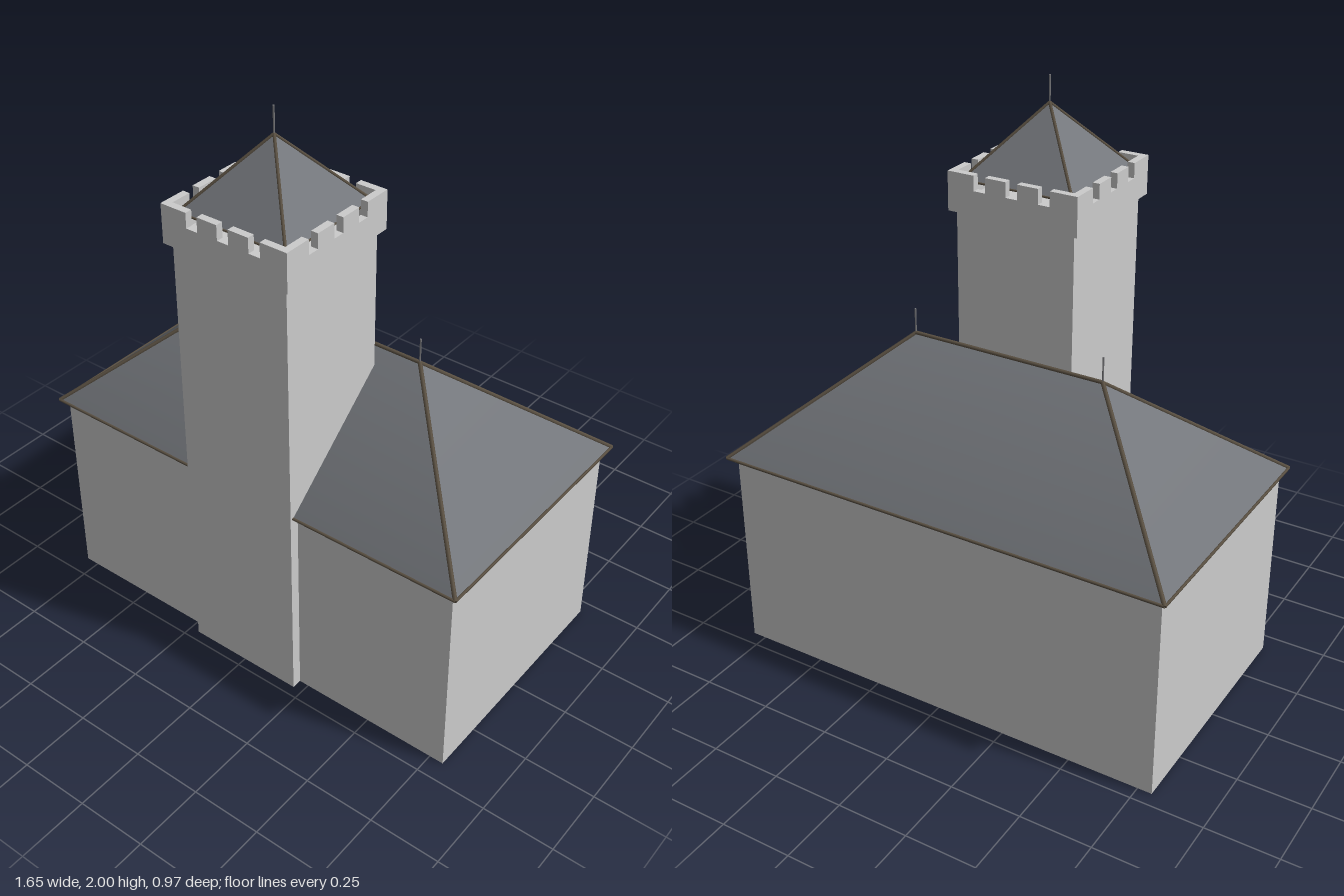
import * as THREE from 'three';

const stone = new THREE.MeshStandardMaterial({ color: 0xcccccc, side: THREE.DoubleSide });
const slate = new THREE.MeshStandardMaterial({ color: 0x74777c, side: THREE.DoubleSide });
const trim = new THREE.MeshStandardMaterial({ color: 0x5a5042 });
const iron = new THREE.MeshStandardMaterial({ color: 0x77777a });

const V = (x, y, z) => new THREE.Vector3(x, y, z);

function add(parent, name, geometry, material) {
  const mesh = new THREE.Mesh(geometry, material);
  mesh.name = name;
  parent.add(mesh);
  return mesh;
}

// Four-cornered faces; eaveBlend tilts the normals of the first two corners outwards
function quads(list, eaveBlend = 0) {
  const pos = [], nor = [];
  for (const [a, b, c, d] of list) {
    const n = b.clone().sub(a).cross(d.clone().sub(a)).normalize();
    const out = V(n.x, 0, n.z).normalize();
    const low = n.clone().addScaledVector(out, eaveBlend).normalize();
    const tris = c.distanceTo(d) < 1e-6 ? [a, b, c] : [a, b, c, a, c, d];
    for (const p of tris) {
      pos.push(p.x, p.y, p.z);
      const m = p === a || p === b ? low : n;
      nor.push(m.x, m.y, m.z);
    }
  }
  const g = new THREE.BufferGeometry();
  g.setAttribute('position', new THREE.Float32BufferAttribute(pos, 3));
  g.setAttribute('normal', new THREE.Float32BufferAttribute(nor, 3));
  return g;
}

// Vertical walls along a closed counter-clockwise [x, z] outline
function walls(outline, y0, y1) {
  return quads(outline.map(([x, z], i) => {
    const [u, w] = outline[(i + 1) % outline.length];
    return [V(x, y0, z), V(u, y0, w), V(u, y1, w), V(x, y1, z)];
  }));
}

function bar(parent, name, a, b, radius, material, sides = 6) {
  const mesh = add(parent, name, new THREE.CylinderGeometry(radius, radius, a.distanceTo(b), sides), material);
  mesh.position.copy(a).lerp(b, 0.5);
  mesh.quaternion.setFromUnitVectors(V(0, 1, 0), b.clone().sub(a).normalize());
}

// Hipped roof with bevelled eaves, trimmed edges and a finial at each ridge end
function hipRoof({ name, hx, hz, ridge, base, top, drop, inset, tip, edge, blend }) {
  const g = new THREE.Group();
  g.name = name;
  const signs = [[-1, 1], [1, 1], [1, -1], [-1, -1]];
  const eave = signs.map(([x, z]) => V(x * hx, base, z * hz));
  const peak = signs.map(([x]) => V(x * ridge, top, 0));
  const low = signs.map(([x, z]) => V(x * (hx - inset), base - drop, z * (hz - inset)));
  const band = (p, q) => p.map((a, i) => [a, p[(i + 1) % 4], q[(i + 1) % 4], q[i]]);
  add(g, 'slopes', quads(band(eave, peak), blend), slate);
  add(g, 'eaves', quads(band(low, eave)), slate);
  eave.forEach((p, i) => {
    bar(g, 'hipTrim', p, peak[i], edge, trim);
    bar(g, 'eaveTrim', p, eave[(i + 1) % 4], edge * 0.7, trim);
  });
  if (ridge > 0) bar(g, 'ridgeTrim', peak[0], peak[1], edge, trim);
  for (const x of ridge > 0 ? [-ridge, ridge] : [0]) {
    bar(g, 'finial', V(x, top - 0.01, 0), V(x, tip, 0), 0.003, iron, 8);
  }
  return g;
}

// One crenellated parapet side, with three slots cut from the top edge
function parapetSide(half, bottom, slot, top, thickness) {
  const s = new THREE.Shape();
  s.moveTo(-half, bottom);
  s.lineTo(half, bottom);
  s.lineTo(half, top);
  for (const x of [0.117, 0, -0.117]) {
    s.lineTo(x + 0.021, top);
    s.lineTo(x + 0.021, slot);
    s.lineTo(x - 0.021, slot);
    s.lineTo(x - 0.021, top);
  }
  s.lineTo(-half, top);
  s.closePath();
  return new THREE.ExtrudeGeometry(s, { depth: thickness, bevelEnabled: false });
}

export function createModel() {
  const model = new THREE.Group();
  model.name = 'hallWithTower';

  // Hall walls, open underneath, stepping forward where the tower stands
  const t = 0.215, front = 0.43, towerFront = 0.465, towerBack = 0.035;
  add(model, 'hallWalls', walls([
    [-0.8, front], [-t, front], [-t, towerFront], [t, towerFront],
    [t, front], [0.8, front], [0.8, -0.45], [-0.8, -0.45],
  ], 0, 0.72), stone);

  const hallRoof = hipRoof({
    name: 'hallRoof', hx: 0.822, hz: 0.467, ridge: 0.355, base: 0.735, top: 1.132,
    drop: 0.022, inset: 0.02, tip: 1.22, edge: 0.007, blend: 0.35,
  });
  hallRoof.position.z = -0.014;
  model.add(hallRoof);

  // Tower
  const tower = new THREE.Group();
  tower.name = 'tower';
  model.add(tower);
  add(tower, 'towerWalls', walls([
    [-t, towerFront], [t, towerFront], [t, towerBack], [-t, towerBack],
  ], 0.72, 1.6), stone);
  const deck = add(tower, 'towerDeck', new THREE.BoxGeometry(0.43, 0.01, 0.43), stone);
  deck.position.set(0, 1.6, 0.25);

  const parapet = new THREE.Group();
  parapet.name = 'parapet';
  parapet.position.z = 0.25;
  tower.add(parapet);
  for (let i = 0; i < 4; i++) {
    const half = i % 2 ? 0.21 : 0.235;
    const side = add(parapet, 'parapetSide', parapetSide(half, 1.58, 1.662, 1.713, 0.025), stone);
    side.geometry.translate(0, 0, 0.21);
    side.rotation.y = i * Math.PI / 2;
  }

  const towerRoof = hipRoof({
    name: 'towerRoof', hx: 0.203, hz: 0.203, ridge: 0, base: 1.68, top: 1.912,
    drop: 0.006, inset: 0.006, tip: 2, edge: 0.005, blend: 0,
  });
  towerRoof.position.z = 0.247;
  tower.add(towerRoof);

  return model;
}
